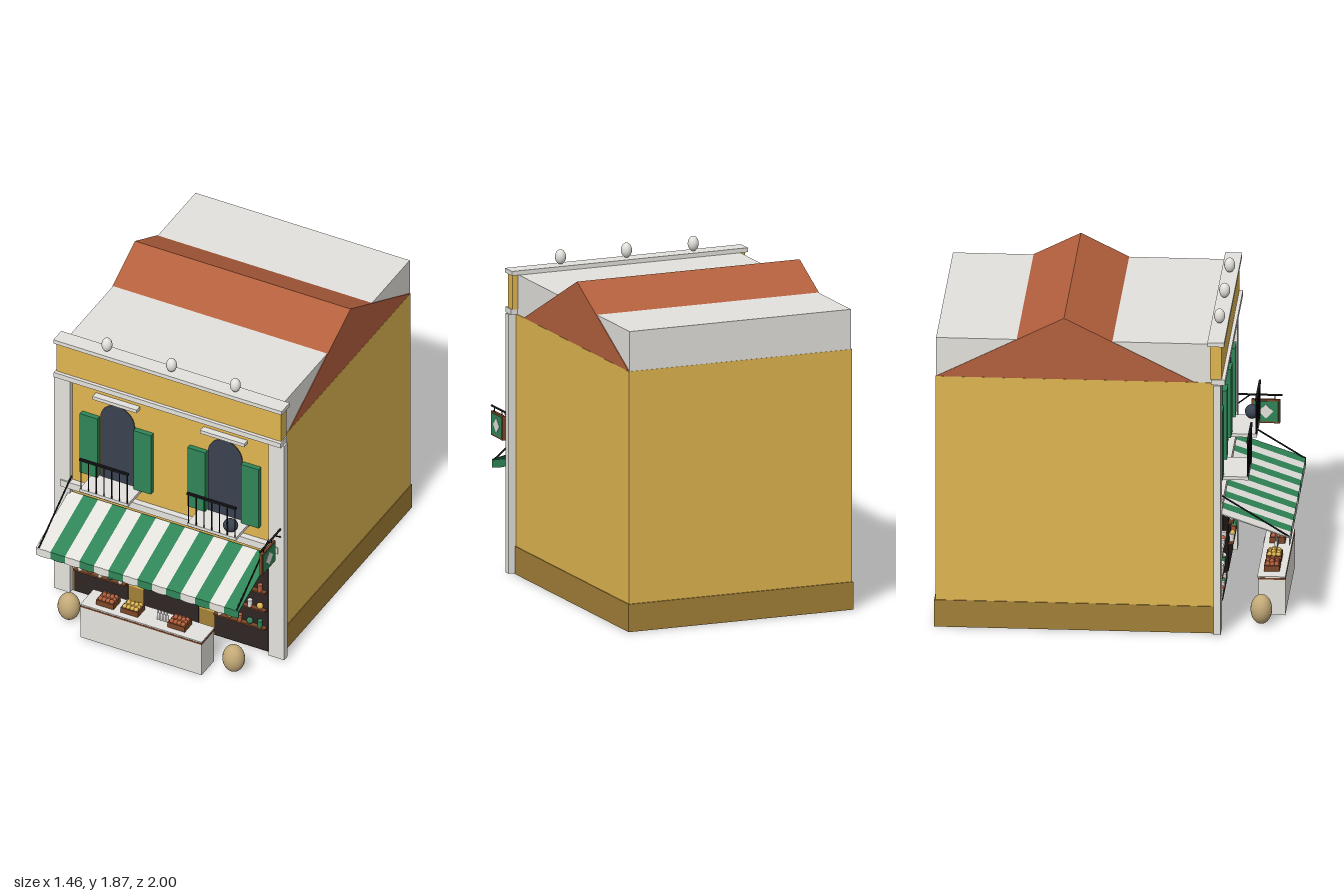
import * as THREE from 'three';

const mat = (name, color) => Object.assign(new THREE.MeshStandardMaterial({ color }), { name });

export function createModel() {
  const M = {
    ochre: mat('ochre plaster', 0xe0b650), plinth: mat('dark ochre', 0xa38038),
    white: mat('pale stone', 0xe4e2dd), clay: mat('terracotta', 0xb4603d),
    green: mat('green', 0x2f8557), glass: mat('blue grey glass', 0x3a4250),
    dark: mat('dark interior', 0x2f2424), iron: mat('black iron', 0x17171b),
    sack: mat('sackcloth', 0xc4aa78), wood: mat('brown wood', 0x7c4728),
  };
  M.green.side = M.white.side = THREE.DoubleSide;
  const root = new THREE.Group();
  root.name = 'shopHouse';

  const add = (name, geo, m, parent = root) => {
    const mesh = new THREE.Mesh(geo, m);
    mesh.name = name;
    parent.add(mesh);
    return mesh;
  };
  // box from its limits on each axis
  const box = (name, m, x0, x1, y0, y1, z0, z1, parent) => {
    const b = add(name, new THREE.BoxGeometry(x1 - x0, y1 - y0, z1 - z0), m, parent);
    b.position.set((x0 + x1) / 2, (y0 + y1) / 2, (z0 + z1) / 2);
    return b;
  };
  const ball = (name, m, x, y, z, rx, ry = rx, rz = rx, seg = 16, parent) => {
    const b = add(name, new THREE.SphereGeometry(1, seg, Math.ceil(seg * 0.75)), m, parent);
    b.scale.set(rx, ry, rz);
    b.position.set(x, y, z);
    return b;
  };
  const rod = (name, m, a, b, r, parent) => {
    const p = new THREE.Vector3(...a), q = new THREE.Vector3(...b);
    const d = q.clone().sub(p);
    const c = add(name, new THREE.CylinderGeometry(r, r, d.length(), 8), m, parent);
    c.position.copy(p).add(q).multiplyScalar(0.5);
    c.quaternion.setFromUnitVectors(new THREE.Vector3(0, 1, 0), d.normalize());
    return c;
  };

  // walls and attic
  box('walls', M.ochre, -0.685, 0.685, 0.01, 1.5, -0.992, 0.575);
  box('plinth', M.plinth, -0.69, 0.69, 0, 0.16, -1, 0.58);
  box('facade', M.ochre, -0.64, 0.64, 0.16, 1.5, 0.57, 0.585);
  box('attic', M.white, -0.68, 0.68, 1.49, 1.73, -0.99, 0.56);

  // gable roof, ridge along x
  const gable = new THREE.Shape([[0.99, 1.5], [0.27, 1.865], [-0.465, 1.5]].map(p => new THREE.Vector2(...p)));
  const roofGeo = new THREE.ExtrudeGeometry(gable, { depth: 1.368, bevelEnabled: false });
  roofGeo.translate(0, 0, -0.684).rotateY(Math.PI / 2);
  add('roof', roofGeo, M.clay);

  // front trim and parapet
  for (const s of [-1, 1]) box('pilaster', M.white, s * 0.68 - 0.05, s * 0.68 + 0.05, 0.005, 1.5, 0.575, 0.615);
  box('cornice', M.white, -0.72, 0.72, 1.5, 1.532, 0.56, 0.64);
  box('parapet', M.ochre, -0.714, 0.714, 1.53, 1.732, 0.555, 0.62);
  box('parapetCap', M.white, -0.725, 0.725, 1.73, 1.755, 0.54, 0.635);
  box('floorBand', M.white, -0.69, 0.69, 0.736, 0.78, 0.575, 0.622);
  for (const x of [-0.41, 0, 0.405]) ball('finial', M.white, x, 1.8, 0.587, 0.031, 0.043);

  // arched windows with shutters and balconies
  for (const s of [-1, 1]) {
    const g = new THREE.Group();
    g.name = 'balconyWindow';
    g.position.x = s * 0.342;
    root.add(g);
    const arch = new THREE.Shape();
    arch.moveTo(-0.108, 0.86);
    arch.lineTo(0.108, 0.86);
    arch.lineTo(0.108, 1.282);
    arch.absarc(0, 1.282, 0.108, 0, Math.PI, false);
    arch.closePath();
    const pane = add('windowPane', new THREE.ExtrudeGeometry(arch, { depth: 0.008, bevelEnabled: false, curveSegments: 12 }), M.glass, g);
    pane.position.z = 0.583;
    for (const t of [-1, 1]) box('shutter', M.green, t * 0.17 - 0.056, t * 0.17 + 0.056, 0.87, 1.28, 0.585, 0.615, g);
    box('lintel', M.white, -0.14, 0.14, 1.415, 1.437, 0.58, 0.625, g);
    box('balconySlab', M.white, -0.155, 0.155, 0.85, 0.87, 0.58, 0.755, g);
    box('handrail', M.iron, -0.156, 0.156, 1.068, 1.082, 0.745, 0.758, g);
    for (let i = 0; i < 7; i++) {
      const x = -0.147 + i * 0.049;
      rod('baluster', M.iron, [x, 0.87, 0.751], [x, 1.07, 0.751], 0.0035, g);
    }
  }
  ball('flowerPot', M.glass, 0.44, 0.912, 0.71, 0.044, 0.04, 0.04);

  // striped awning with valance
  const slope = Math.hypot(0.4, 0.137), tilt = Math.atan2(0.137, 0.4), w = 1.288 / 14;
  for (let i = 0; i < 14; i++) {
    const x = -0.644 + w * (i + 0.5), m = i % 2 ? M.green : M.white;
    const strip = add('awningStripe', new THREE.BoxGeometry(w, 0.006, slope), m);
    strip.position.set(x, 0.634, 0.798);
    strip.rotation.x = tilt;
    const flap = new THREE.Shape();
    flap.moveTo(-w / 2, 0);
    flap.lineTo(-w / 2, -0.044);
    flap.quadraticCurveTo(0, -0.056, w / 2, -0.044);
    flap.lineTo(w / 2, 0);
    const f = add('valance', new THREE.ExtrudeGeometry(flap, { depth: 0.005, bevelEnabled: false, curveSegments: 4 }), m);
    f.position.set(x, 0.566, 0.994);
  }
  for (const s of [-1, 1]) rod('awningArm', M.iron, [s * 0.628, 0.568, 0.995], [s * 0.628, 0.812, 0.6], 0.005);

  // shop openings
  box('doorway', M.dark, -0.175, 0.172, 0.005, 0.6, 0.582, 0.59);
  const jarColors = {
    '-1': ['wwwcw', 'wwwgw', 'wcwgw'],
    '1': ['wwwwc', 'wgwwo', 'wocgg'],
  };
  const code = { w: M.white, c: M.clay, g: M.green, o: M.ochre };
  const jarGeo = new THREE.CylinderGeometry(0.015, 0.013, 0.042, 12);
  for (const s of [-1, 1]) {
    box('displayRecess', M.dark, s * 0.445 - 0.17, s * 0.445 + 0.17, 0.01, 0.6, 0.582, 0.59);
    [0.425, 0.298, 0.174].forEach((y, row) => {
      box('shelf', M.wood, s * 0.445 - 0.163, s * 0.445 + 0.163, y - 0.005, y + 0.005, 0.588, 0.618);
      [...jarColors[s][row]].forEach((c, i) => {
        const x = s * 0.443 + (i - 2) * 0.064;
        if ((i + row) % 2) ball('pot', code[c], x, y + 0.026, 0.605, 0.02, 0.021, 0.016, 12);
        else add('jar', jarGeo, code[c]).position.set(x, y + 0.026, 0.605);
      });
    });
  }

  // counter with goods
  box('counterCore', M.wood, -0.36, 0.36, 0, 0.2, 0.82, 0.94);
  box('counter', M.white, -0.385, 0.385, 0.004, 0.216, 0.805, 0.955);
  box('counterTrim', M.wood, -0.387, 0.387, 0.216, 0.226, 0.803, 0.957);
  box('counterTop', M.white, -0.385, 0.385, 0.226, 0.234, 0.797, 0.955);
  for (const [x, m] of [[-0.25, M.clay], [-0.095, M.ochre], [0.203, M.clay]]) {
    box('crate', M.wood, x - 0.055, x + 0.055, 0.234, 0.268, 0.83, 0.917);
    for (let i = 0; i < 4; i++) for (let j = 0; j < 3; j++)
      ball('fruit', m, x - 0.036 + i * 0.024, 0.272, 0.849 + j * 0.025, 0.015, 0.015, 0.015, 8);
    for (let i = 0; i < 3; i++) ball('fruit', m, x - 0.025 + i * 0.025, 0.286, 0.872, 0.014, 0.014, 0.014, 8);
  }
  const bottle = new THREE.LatheGeometry([[0, 0], [0.009, 0], [0.009, 0.036], [0.004, 0.046], [0.004, 0.062], [0, 0.062]]
    .map(p => new THREE.Vector2(...p)), 10);
  for (let i = 0; i < 4; i++) add('bottle', bottle, M.white).position.set(0.067 + i * 0.019, 0.234, 0.872);

  // sacks beside the counter
  for (const s of [-1, 1]) ball('sack', M.sack, s * 0.523, 0.091, 0.83, 0.065, 0.086, 0.061, 20);

  // hanging sign on a bracket
  const sign = new THREE.Group();
  sign.name = 'hangingSign';
  sign.position.x = 0.706;
  root.add(sign);
  rod('bracketBar', M.iron, [0, 0.913, 0.6], [0, 0.913, 0.862], 0.006, sign);
  rod('bracketBrace', M.iron, [0, 0.855, 0.61], [0, 0.91, 0.68], 0.004, sign);
  for (const z of [0.72, 0.82]) rod('hanger', M.iron, [0, 0.88, z], [0, 0.913, z], 0.003, sign);
  box('signFrame', M.wood, -0.008, 0.008, 0.746, 0.887, 0.69, 0.85, sign);
  box('signPanel', M.green, -0.011, 0.011, 0.756, 0.877, 0.7, 0.84, sign);
  const diamond = box('signDiamond', M.white, -0.013, 0.013, 0.787, 0.847, 0.74, 0.8, sign);
  diamond.rotation.x = Math.PI / 4;

  return root;
}
